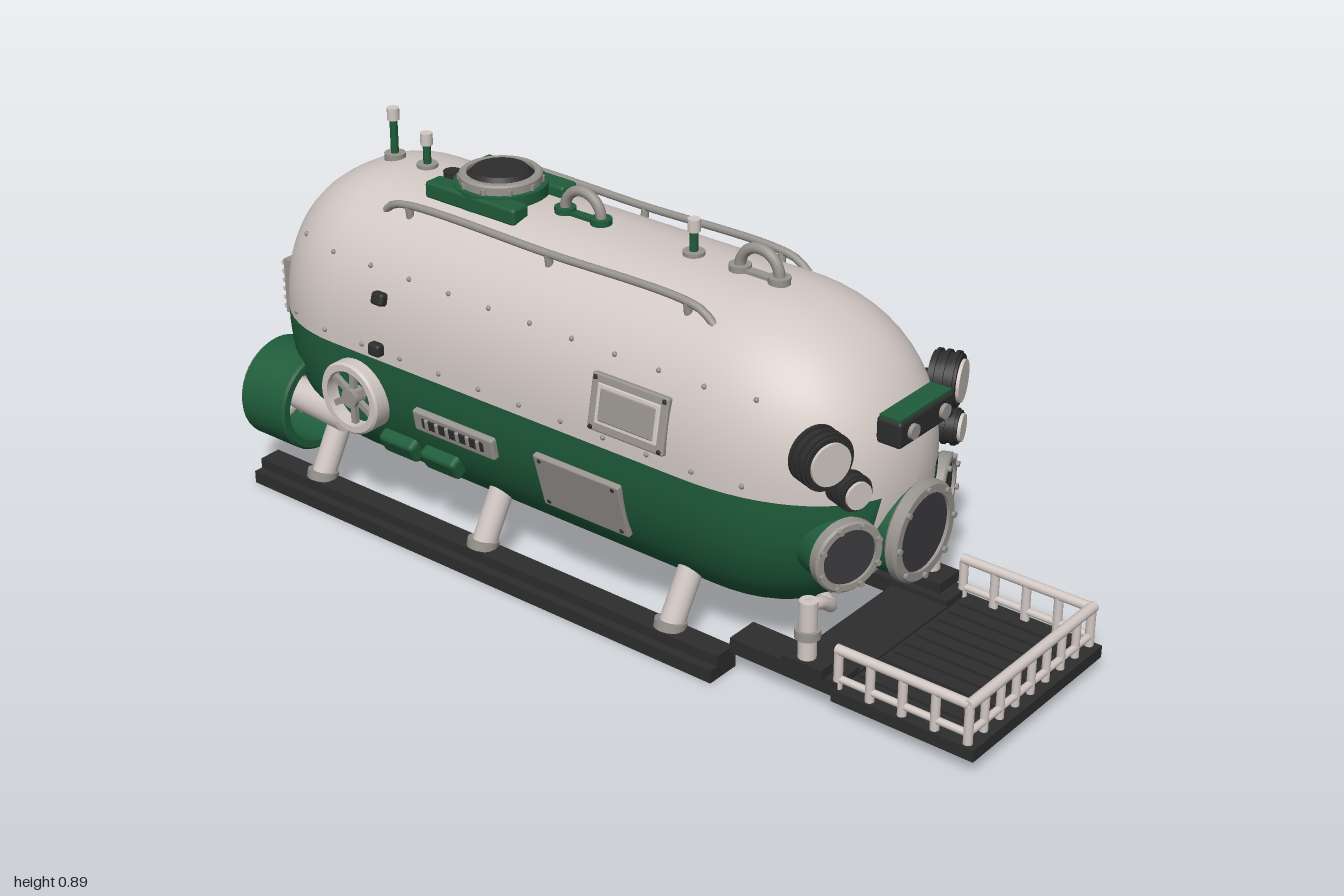
import * as THREE from 'three';
import { toCreasedNormals } from 'three/addons/utils/BufferGeometryUtils.js';
import { RoundedBoxGeometry } from 'three/addons/geometries/RoundedBoxGeometry.js';

const V = (x, y, z) => new THREE.Vector3(x, y, z);
const UP = V(0, 1, 0);

// Hull dimensions: superelliptic sections scaled about the waterline
const W = 0.285, MID = 0.44, TOP = 0.34, BOT = 0.35, N = 2.3;
const spow = (v, p) => Math.sign(v) * Math.pow(Math.abs(v), p);
const endScale = (x) => {
  const u = x > 0.3 ? (x - 0.3) / 0.38 : x < -0.68 ? (-0.68 - x) / 0.3 : 0;
  return Math.pow(Math.max(0, 1 - Math.pow(Math.min(1, u), 2.2)), 1 / 2.2);
};
const hullPoint = (x, t) => {
  const s = endScale(x), sn = Math.sin(t);
  return V(x, MID + s * (sn > 0 ? TOP : BOT) * spow(sn, 2 / N), s * W * spow(Math.cos(t), 2 / N));
};
// half-width of the hull at a given x and height
const halfWidth = (x, y) => {
  const s = endScale(x), k = Math.abs(y - MID) / (s * (y > MID ? TOP : BOT));
  return s * W * Math.pow(Math.max(0, 1 - Math.pow(k, N)), 1 / N);
};
// angle at which the green flank meets the pale keel strip
const keelAngle = (x) => {
  const lim = 0.11 * THREE.MathUtils.smoothstep(x, -0.85, -0.6);
  return Math.acos(Math.pow(Math.min(1, lim / (W * Math.max(endScale(x), 1e-4))), N / 2));
};

function hullStrip(from, to, cols) {
  const xs = [];
  for (let i = 0; i <= 14; i++) xs.push(-0.68 - 0.3 * Math.cos((i / 14) * Math.PI / 2));
  for (let i = 1; i < 12; i++) xs.push(-0.68 + 0.98 * i / 12);
  for (let i = 0; i <= 16; i++) xs.push(0.3 + 0.38 * Math.sin((i / 16) * Math.PI / 2));
  const pos = [], idx = [];
  xs.forEach((x, i) => {
    const a = from(x), b = to(x);
    for (let j = 0; j <= cols; j++) {
      pos.push(...hullPoint(x, a + (b - a) * j / cols).toArray());
      if (i < xs.length - 1 && j < cols) {
        const p = i * (cols + 1) + j, q = p + cols + 1;
        idx.push(p, q, p + 1, q, q + 1, p + 1);
      }
    }
  });
  const g = new THREE.BufferGeometry();
  g.setAttribute('position', new THREE.Float32BufferAttribute(pos, 3));
  g.setIndex(idx);
  g.computeVertexNormals();
  return g;
}

// Hollow ring around the y axis
function ringGeo(inner, outer, h) {
  const b = Math.min(h, outer - inner) * 0.25;
  const p = [[inner, -h / 2], [outer - b, -h / 2], [outer, -h / 2 + b], [outer, h / 2 - b], [outer - b, h / 2], [inner, h / 2], [inner, -h / 2]];
  return toCreasedNormals(new THREE.LatheGeometry(p.map(([x, y]) => new THREE.Vector2(x, y)), 36), 0.6);
}

export function createModel() {
  const model = new THREE.Group();
  const mat = (name, color) => Object.assign(new THREE.MeshStandardMaterial({ color }), { name });
  const pale = mat('pale paint', 0xd2c8c4), green = mat('green paint', 0x1f5c3a), dark = mat('dark rubber', 0x2e2d2d);
  const grey = mat('grey metal', 0x98948f), glass = mat('dark glass', 0x3b3b3d);

  const add = (name, geo, m, p = V(0, 0, 0), dir = null, parent = model) => {
    const mesh = new THREE.Mesh(geo, m);
    mesh.name = name;
    mesh.position.copy(p);
    if (dir) mesh.quaternion.setFromUnitVectors(UP, dir.clone().normalize());
    parent.add(mesh);
    return mesh;
  };
  const box = (name, m, w, h, d, x, y, z) => add(name, new THREE.BoxGeometry(w, h, d), m, V(x, y, z));
  const rod = (name, m, a, b, r, r2 = r) => add(name, new THREE.CylinderGeometry(r2, r, a.distanceTo(b), 16), m,
    a.clone().add(b).multiplyScalar(0.5), b.clone().sub(a));
  const disc = (name, m, r, h, p, dir) => add(name, new THREE.CylinderGeometry(r, r, h, 36), m, p, dir);
  const bolts = (name, count, r, c, dir) => {
    const g = new THREE.Group();
    g.name = name;
    g.position.copy(c);
    g.quaternion.setFromUnitVectors(UP, dir.clone().normalize());
    for (let i = 0; i < count; i++) {
      const a = (i / count) * Math.PI * 2;
      add('bolt', new THREE.CylinderGeometry(0.007, 0.007, 0.014, 6), grey, V(r * Math.cos(a), 0, r * Math.sin(a)), null, g);
    }
    model.add(g);
  };

  // Hull shell in colour zones
  const PI = Math.PI;
  add('upperHull', hullStrip(() => 0, () => PI, 48), pale);
  add('leftFlank', hullStrip((x) => -keelAngle(x), () => 0, 18), green);
  add('rightFlank', hullStrip(() => PI, (x) => PI + keelAngle(x), 18), green);
  add('keelStrip', hullStrip((x) => PI + keelAngle(x), (x) => 2 * PI - keelAngle(x), 16), pale);

  // Portholes
  const porthole = (name, c, dir, r) => {
    const d = dir.normalize(), at = (k) => c.clone().addScaledVector(d, k);
    disc(name + 'Housing', green, r * 1.2, 0.09, at(-0.055), d);
    add(name + 'Rim', ringGeo(r, r * 1.28, 0.03), grey, c, d);
    disc(name + 'Glass', glass, r * 1.03, 0.02, at(-0.002), d);
    bolts(name + 'Bolts', 8, r * 1.14, at(0.015), d);
  };
  porthole('noseWindow', V(0.695, 0.335, 0), V(1, 0, 0), 0.086);

  // Camera bar on the nose
  add('cameraBar', new RoundedBoxGeometry(0.06, 0.058, 0.19, 2, 0.008), dark, V(0.67, 0.587, 0));
  for (const z of [-0.055, 0.055]) disc('cameraLens', grey, 0.016, 0.014, V(0.702, 0.587, z), V(1, 0, 0));
  box('cameraBarCap', green, 0.05, 0.006, 0.18, 0.67, 0.618, 0);

  for (const s of [1, -1]) {
    porthole('sideWindow', V(0.635, 0.335, 0.172 * s), V(1, 0, 0.4 * s), 0.062);

    // Floodlights
    for (const [x, y, z, r] of [[0.6, 0.562, 0.22, 0.056], [0.635, 0.485, 0.172, 0.036]]) {
      const d = V(1, 0, 0.35 * s).normalize(), c = V(x, y, z * s);
      rod('lampBracket', dark, V(x - 0.1, y, (z - 0.05) * s), c, 0.018);
      disc('lampBarrel', dark, r, 0.06, c, d);
      for (let i = 0; i < 3; i++) disc('lampFin', dark, r * 1.1, 0.008, c.clone().addScaledVector(d, -0.02 + i * 0.02), d);
      disc('lampLens', pale, r * 0.82, 0.014, c.clone().addScaledVector(d, 0.03), d);
    }

    // Skids and struts
    box('skid', dark, 1.35, 0.03, 0.085, -0.275, 0.015, 0.262 * s);
    box('skidTop', dark, 1.35, 0.025, 0.055, -0.275, 0.042, 0.255 * s);
    for (const x of [-0.78, -0.28, 0.25]) {
      rod('skidStrut', pale, V(x, 0.05, 0.25 * s), V(x + 0.015, 0.2, 0.185 * s), 0.028);
      rod('strutFoot', grey, V(x, 0.05, 0.25 * s), V(x, 0.068, 0.246 * s), 0.036);
    }

    // Rear thruster
    const tc = V(-0.88, 0.225, 0.212 * s), X = V(1, 0, 0);
    add('thrusterShroud', ringGeo(0.098, 0.12, 0.14), green, tc, X);
    rod('thrusterPod', pale, V(-0.93, 0.225, 0.212 * s), V(-0.71, 0.225, 0.222 * s), 0.036, 0.042);
    add('thrusterRearRim', ringGeo(0.094, 0.112, 0.012), grey, V(-0.951, 0.225, 0.212 * s), X);
    for (let i = 0; i < 5; i++) {
      const b = box('thrusterBlade', grey, 0.012, 0.09, 0.035, -0.925, 0.225, 0.212 * s);
      b.rotation.set((i / 5) * PI * 2, 0, 0);
      b.translateY(0.055);
      b.rotateY(0.4);
    }

    // Side thruster
    const Z = V(0, 0, s);
    add('sideThrusterRing', ringGeo(0.066, 0.086, 0.08), pale, V(-0.61, 0.335, 0.277 * s), Z);
    disc('sideThrusterWell', green, 0.068, 0.01, V(-0.61, 0.335, 0.278 * s), Z);
    disc('sideThrusterHub', grey, 0.022, 0.04, V(-0.61, 0.335, 0.296 * s), Z);
    for (let i = 0; i < 6; i++) {
      const b = box('sideThrusterSpoke', grey, 0.014, 0.06, 0.012, -0.61, 0.335, 0.298 * s);
      b.rotation.z = (i / 6) * PI * 2;
      b.translateY(0.042);
    }

    // Panels laid along the flank
    const panel = (name, m, x, y, w, h, d = 0.016, lift = 0) => {
      const hw = halfWidth(x, y), slope = (halfWidth(x, y + h / 2) - halfWidth(x, y - h / 2)) / h;
      const p = add(name, new RoundedBoxGeometry(w, h, d, 2, Math.min(w, h, d) * 0.3), m, V(x, y, (hw + lift) * s));
      p.rotation.x = Math.atan(slope) * s;
      return p;
    };
    panel('upperHatchFrame', grey, 0.165, 0.54, 0.2, 0.125);
    panel('upperHatchDoor', pale, 0.165, 0.54, 0.165, 0.09, 0.012, 0.004);
    panel('upperHatchPlate', grey, 0.165, 0.54, 0.145, 0.072, 0.012, 0.006);
    panel('lowerPanel', grey, 0.03, 0.3, 0.235, 0.14);
    panel('ventFrame', grey, -0.32, 0.332, 0.235, 0.054, 0.02, 0.004);
    panel('ventRecess', dark, -0.32, 0.332, 0.18, 0.026, 0.012, 0.011);
    for (let i = 0; i < 6; i++) panel('ventSlat', grey, -0.395 + i * 0.03, 0.332, 0.012, 0.026, 0.012, 0.013);
    for (const x of [-0.515, -0.39]) panel('flankBox', green, x, 0.226, 0.105, 0.055, 0.04, 0.008);
    for (const y of [0.47, 0.585]) panel('seamLatch', dark, -0.54, y, 0.035, 0.03, 0.026, 0.006);
    for (const [px, py, dx, dy] of [[0.03, 0.3, 0.1, 0.055], [0.165, 0.54, 0.09, 0.053]])
      for (const i of [-1, 1]) for (const j of [-1, 1]) panel('panelBolt', dark, px + i * dx, py + j * dy, 0.01, 0.01, 0.01, 0.01);

    // Hull rivets
    for (const y of [0.465, 0.64]) for (let i = 0; i < 12; i++) {
      const x = -0.82 + i * 0.115;
      add('rivet', new THREE.SphereGeometry(0.006, 8, 6), grey, V(x, y, halfWidth(x, y) * s));
    }

    // Roof rails
    const rail = new THREE.CatmullRomCurve3([V(-0.62, 0.735, 0.16 * s), V(-0.59, 0.757, 0.16 * s), V(-0.15, 0.763, 0.16 * s), V(0.25, 0.757, 0.16 * s), V(0.29, 0.73, 0.16 * s)]);
    add('roofRail', new THREE.TubeGeometry(rail, 40, 0.009, 8), grey);
    for (const x of [-0.55, -0.15, 0.22]) rod('railPost', grey, V(x, 0.72, 0.155 * s), V(x, 0.76, 0.16 * s), 0.009);

    // Platform supports
    box('platformBeam', dark, 0.27, 0.035, 0.08, 0.535, 0.062, 0.2 * s);
    box('columnBase', dark, 0.1, 0.025, 0.075, 0.59, 0.09, 0.215 * s);
    rod('supportColumn', pale, V(0.585, 0.09, 0.225 * s), V(0.585, 0.235, 0.225 * s), 0.02);
    rod('columnCollar', grey, V(0.585, 0.15, 0.225 * s), V(0.585, 0.17, 0.225 * s), 0.028);
    const arm = new THREE.CatmullRomCurve3([V(0.585, 0.225, 0.235 * s), V(0.59, 0.215, 0.19 * s), V(0.58, 0.18, 0.14 * s), V(0.53, 0.17, 0.1 * s)]);
    add('supportArm', new THREE.TubeGeometry(arm, 20, 0.014, 10), pale);

    // Platform side rail
    rod('sideTopRail', pale, V(0.66, 0.152, 0.228 * s), V(0.975, 0.152, 0.228 * s), 0.011);
    rod('sideMidRail', pale, V(0.66, 0.085, 0.228 * s), V(0.975, 0.085, 0.228 * s), 0.008);
    for (let i = 0; i < 5; i++) rod('sideRailPost', pale, V(0.665 + i * 0.0775, 0.05, 0.228 * s), V(0.665 + i * 0.0775, 0.152, 0.228 * s), 0.01);

    // Hatch side pads
    add('hatchPad', new RoundedBoxGeometry(0.26, 0.04, 0.05, 2, 0.008), green, V(-0.425, 0.782, 0.08 * s));
  }

  // Front platform
  box('platformDeck', dark, 0.34, 0.028, 0.485, 0.828, 0.048, 0);
  box('platformTongue', dark, 0.14, 0.025, 0.34, 0.6, 0.055, 0);
  for (let i = 0; i < 11; i++) box('deckSlat', dark, 0.29, 0.008, 0.024, 0.825, 0.065, -0.2 + i * 0.04);
  rod('frontTopRail', pale, V(0.975, 0.152, -0.235), V(0.975, 0.152, 0.235), 0.012);
  rod('frontMidRail', pale, V(0.975, 0.085, -0.235), V(0.975, 0.085, 0.235), 0.008);
  for (let i = 1; i < 8; i++) rod('frontRailPost', pale, V(0.975, 0.05, -0.228 + i * 0.057), V(0.975, 0.152, -0.228 + i * 0.057), 0.009);

  // Top hatch
  disc('hatchCollar', green, 0.105, 0.04, V(-0.425, 0.785, 0), UP);
  add('hatchRim', ringGeo(0.075, 0.092, 0.03), grey, V(-0.425, 0.812, 0), UP);
  add('hatchLid', new THREE.CylinderGeometry(0.06, 0.085, 0.025, 36), dark, V(-0.425, 0.821, 0));
  bolts('hatchBolts', 10, 0.09, V(-0.425, 0.81, 0), UP);

  // Lifting eyes
  for (const [x, m] of [[-0.19, green], [0.28, grey]]) {
    add('liftingEye', new THREE.TorusGeometry(0.05, 0.012, 10, 24, PI), grey, V(x, 0.79, 0));
    for (const d of [-0.05, 0.05]) rod('eyeFoot', m, V(x + d, 0.76, 0), V(x + d, 0.793, 0), 0.024);
    box('eyeBase', m, 0.1, 0.02, 0.022, x, 0.777, 0);
  }

  // Masts
  for (const [x, h] of [[-0.745, 0.895], [-0.645, 0.86], [0.11, 0.86]]) {
    rod('mastBase', grey, V(x, 0.755, 0), V(x, 0.788, 0), 0.024);
    rod('mastShaft', green, V(x, 0.78, 0), V(x, h - 0.025, 0), 0.009);
    rod('mastHead', pale, V(x, h - 0.028, 0), V(x, h, 0), 0.014);
  }
  rod('roofValve', dark, V(-0.56, 0.77, 0.01), V(-0.56, 0.795, 0.01), 0.02);

  // Rear louvre
  box('louvreFrame', grey, 0.03, 0.135, 0.28, -0.968, 0.44, 0);
  for (let i = 0; i < 6; i++) box('louvreSlat', pale, 0.02, 0.01, 0.27, -0.986, 0.385 + i * 0.022, 0).rotation.z = 0.4;
  return model;
}
